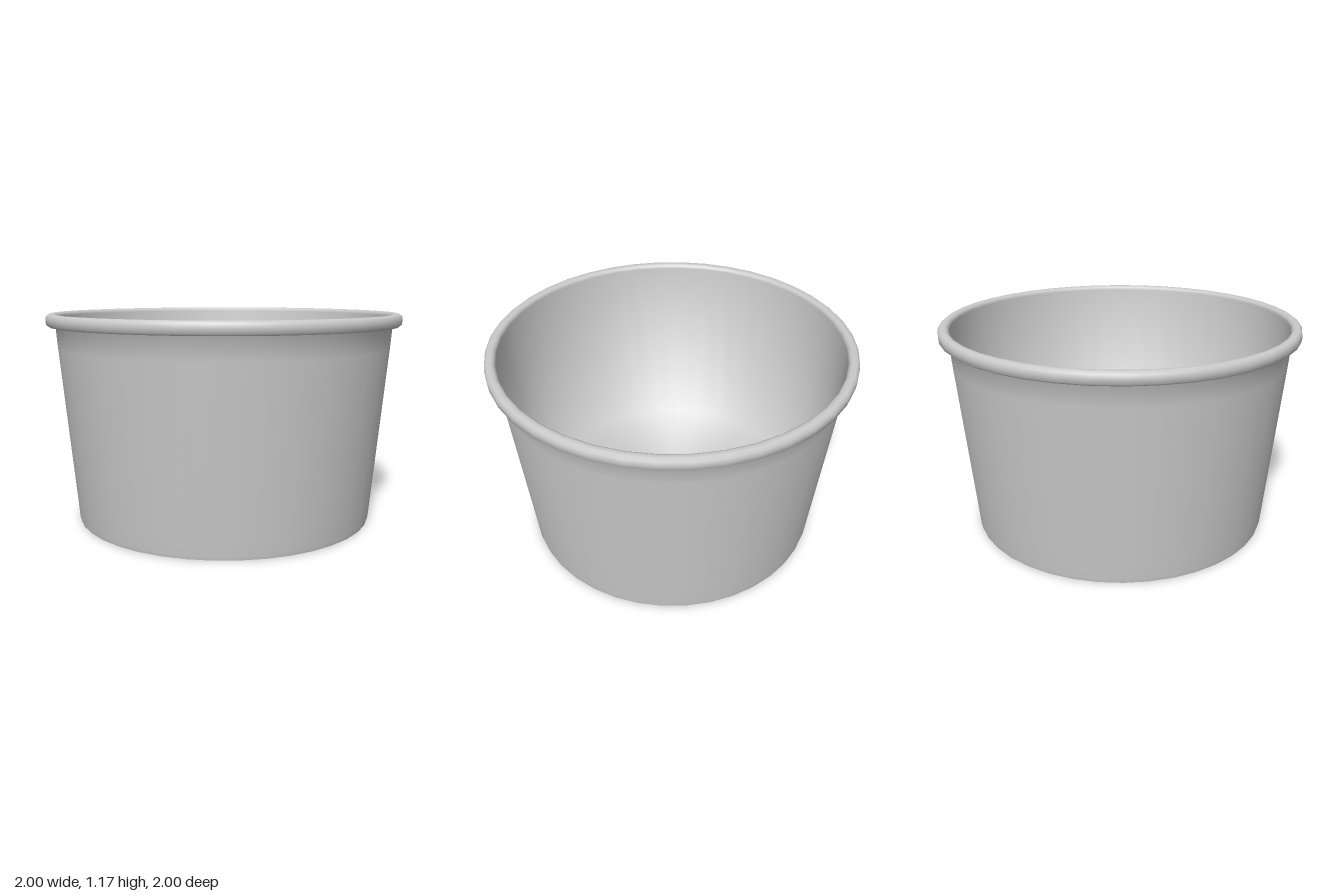
import * as THREE from 'three';

const SEGMENTS = 40;

// Revolve a profile of [radius, height] pairs around the y axis
function revolve(name, points, material) {
  const profile = points.map(([r, y]) => new THREE.Vector2(r, y));
  const mesh = new THREE.Mesh(new THREE.LatheGeometry(profile, SEGMENTS), material);
  mesh.name = name;
  return mesh;
}

export function createModel() {
  const group = new THREE.Group();
  group.name = 'tub';
  const material = new THREE.MeshStandardMaterial({ color: 0xcccccc, side: THREE.DoubleSide });

  // Recessed underside and the inside of the thin foot ring
  group.add(revolve('recessedUnderside', [
    [0, 0.07], [0.835, 0.07], [0.838, 0], [0.846, 0],
  ], material));

  // Tapered outer wall, rolled rim, inside wall and floor as one smooth skin
  group.add(revolve('wallRimAndFloor', [
    [0.846, 0], [0.85, 0.02], [0.859, 0.12], [0.938, 0.98], [0.948, 1.102],
    [0.985, 1.102], [0.997, 1.112], [1.0, 1.136], [0.997, 1.158], [0.983, 1.17],
    [0.958, 1.17], [0.945, 1.163], [0.938, 1.148],
    [0.826, 0.09], [0, 0.09],
  ], material));

  return group;
}
